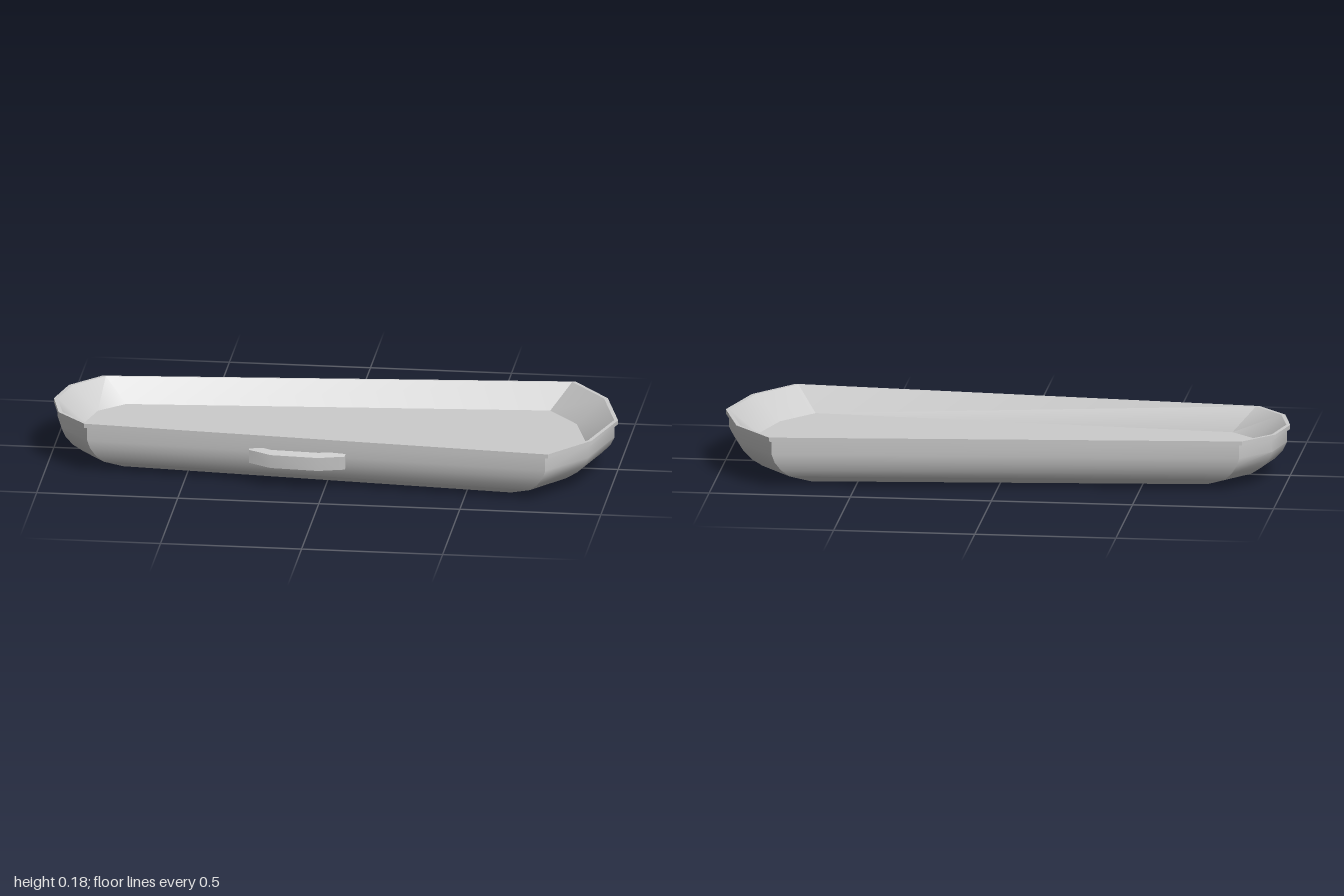
import * as THREE from 'three';
import { toCreasedNormals } from 'three/addons/utils/BufferGeometryUtils.js';

const material = new THREE.MeshStandardMaterial({ color: 0xcccccc, side: THREE.DoubleSide });

// Skin a list of rings (arrays of [x, y, z]); rings run counter-clockwise seen along the loft.
// capStart / capEnd are optional centre points that close the ends with a fan.
function loft(name, rings, capStart, capEnd, crease = 0.6) {
  const pos = [];
  const tri = (a, b, c) => pos.push(...a, ...b, ...c);
  const n = rings[0].length;
  for (let i = 0; i < n; i++) {
    const j = (i + 1) % n;
    for (let r = 0; r < rings.length - 1; r++) {
      const a = rings[r], b = rings[r + 1];
      tri(a[i], a[j], b[j]);
      tri(a[i], b[j], b[i]);
    }
    if (capStart) tri(rings[0][j], rings[0][i], capStart);
    if (capEnd) tri(rings.at(-1)[i], rings.at(-1)[j], capEnd);
  }
  const geometry = new THREE.BufferGeometry();
  geometry.setAttribute('position', new THREE.Float32BufferAttribute(pos, 3));
  const mesh = new THREE.Mesh(toCreasedNormals(geometry, crease), material);
  mesh.name = name;
  return mesh;
}

// Complete a half outline (tip to tip along the back) by mirroring it to the front
const mirror = (half) => [...half, ...half.slice(1, -1).reverse().map(([x, z]) => [x, -z])];
const ring = (points, y, sx = 1, sz = 1) => points.map(([x, z]) => [x * sx, y, z * sz]);

export function createModel() {
  const group = new THREE.Group();
  group.name = 'caseTray';

  const rim = mirror([[1, 0], [0.935, -0.235], [0.8, -0.403], [-0.86, -0.266], [-0.965, -0.15], [-1, 0]]);
  const base = mirror([[0.8, 0], [0.75, -0.2], [0.66, -0.325], [-0.73, -0.205], [-0.79, -0.115], [-0.81, 0]]);
  const floor = mirror([[0.885, 0], [0.83, -0.19], [0.72, -0.325], [-0.77, -0.215], [-0.86, -0.13], [-0.89, 0]]);
  const body = rim.map(([x, z]) => [x * 0.988, z * 0.992]);

  // Rounded outer shell: each outline corner sweeps down to its base corner
  const profile = [[0.01, 1], [0.035, 0.46], [0.06, 0.24], [0.09, 0.08], [0.12, 0], [0.17, 0]];
  const shellRings = profile.map(([y, t]) =>
    body.map(([x, z], i) => [x + (base[i][0] - x) * t, y, z + (base[i][1] - z) * t]));
  group.add(loft('outerShell', shellRings, [0.2, 0, 0]));

  // Thin lip around the opening
  group.add(loft('rimLip', [
    ring(body, 0.168), ring(rim, 0.168), ring(rim, 0.183), ring(rim, 0.183, 0.986, 0.982),
  ]));

  // Sloping inner walls and flat floor
  group.add(loft('innerLining', [ring(rim, 0.183, 0.986, 0.982), ring(floor, 0.098)], null, [0, 0.098, 0]));

  // Bowed carrying handle on the front side: [x, z of outer face, downward sag]
  const stations = [[-0.27, 0.318, 0], [-0.19, 0.349, 0.006], [-0.02, 0.361, 0.006], [0.075, 0.352, 0]];
  const handleRings = stations.map(([x, z, sag]) => [
    [x, 0.08 - sag, z], [x, 0.128 - sag, z], [x, 0.14 - sag, z - 0.022], [x, 0.085 - sag, z - 0.022],
  ].reverse());
  const middle = (r) => [0, 1, 2].map((k) => r.reduce((s, p) => s + p[k], 0) / r.length);
  group.add(loft('handle', handleRings, middle(handleRings[0]), middle(handleRings.at(-1)), 0.4));

  return group;
}
